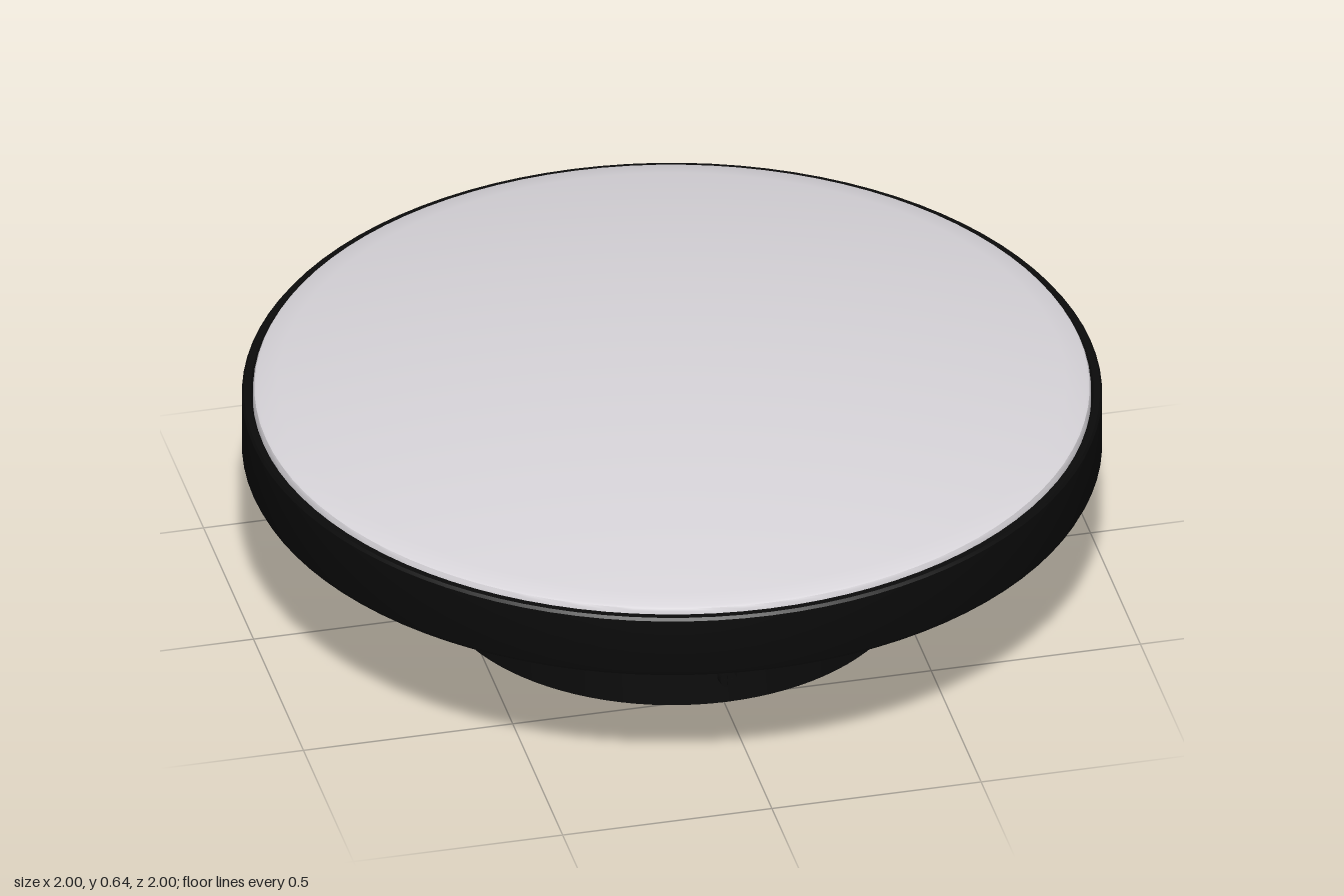
import * as THREE from 'three';
import { toCreasedNormals } from 'three/addons/utils/BufferGeometryUtils.js';

export function createModel() {
  const model = new THREE.Group();
  const black = new THREE.MeshStandardMaterial({ color: 0x0b0b0b });
  black.name = 'black metal';
  const opal = new THREE.MeshStandardMaterial({ color: 0xd8d5da });
  opal.name = 'opal diffuser';

  function add(name, geometry, material = black, parent = model) {
    const mesh = new THREE.Mesh(geometry, material);
    mesh.name = name;
    parent.add(mesh);
    return mesh;
  }
  // Profile of [radius, height] points, listed from the bottom up the outside
  function turned(points, segments = 96) {
    const profile = points.map(([r, y]) => new THREE.Vector2(r, y));
    return toCreasedNormals(new THREE.LatheGeometry(profile, segments), 0.5);
  }

  // Shallow drum holding the diffuser, with a narrow raised rim
  add('housing', turned([
    [0, 0.375], [0.985, 0.375], [0.995, 0.38], [1, 0.39],
    [1, 0.53], [0.995, 0.537], [0.98, 0.537], [0.976, 0.53], [0.976, 0.5], [0, 0.5],
  ]));

  // Gently domed diffuser: a spherical cap above a short straight edge
  const capRadius = 0.965, capBase = 0.55, rise = 0.087;
  const sphere = (capRadius ** 2 + rise ** 2) / (2 * rise);
  const dome = [[0.974, 0.51], [0.974, 0.541], [0.971, 0.547]];
  for (let i = 0; i <= 20; i++) {
    const r = capRadius * (1 - i / 20);
    dome.push([r, capBase + rise - sphere + Math.sqrt(sphere ** 2 - r ** 2)]);
  }
  add('diffuser', turned(dome), opal);

  // Stem between canopy and housing
  const stem = add('stem', new THREE.CylinderGeometry(0.068, 0.068, 0.18, 40));
  stem.position.y = 0.295;

  // Canopy: a slightly tapered cup, open below
  add('canopy', turned([
    [0, 0.1], [0.535, 0.1], [0.538, 0.02], [0.553, 0.02],
    [0.546, 0.21], [0.54, 0.217], [0, 0.217],
  ]));

  // Mounting plate inside the canopy
  add('mountingPlate', turned([
    [0, 0.005], [0.522, 0.005], [0.525, 0.008], [0.525, 0.11],
  ]));

  // Thin ribs and rings on the underside of the plate
  for (let i = 0; i < 3; i++) {
    const rib = add('plateRib', new THREE.BoxGeometry(1.03, 0.008, 0.01));
    rib.position.y = 0.004;
    rib.rotation.y = -Math.PI / 6 - i * Math.PI / 3;
  }
  for (const r of [0.03, 0.08, 0.18, 0.515]) {
    add('plateRing', turned([
      [r - 0.005, 0.008], [r - 0.005, 0], [r + 0.005, 0], [r + 0.005, 0.008],
    ], 64));
  }

  // Three knurled set screws around the canopy
  for (let i = 0; i < 3; i++) {
    const screw = new THREE.Group();
    screw.name = 'canopyScrew';
    const head = add('screwHead', new THREE.CylinderGeometry(0.02, 0.024, 0.025, 20), black, screw);
    head.rotation.x = Math.PI / 2;
    head.position.set(0, 0.09, 0.556);
    for (const turn of [0, Math.PI / 2]) {
      const bar = add('screwCross', new THREE.BoxGeometry(0.026, 0.006, 0.004), black, screw);
      bar.position.set(0, 0.09, 0.569);
      bar.rotation.z = turn;
    }
    screw.rotation.y = i * Math.PI * 2 / 3;
    model.add(screw);
  }

  // Four small screws under the housing
  for (let i = 0; i < 4; i++) {
    const a = i * Math.PI / 2;
    const screw = add('housingScrew', new THREE.CylinderGeometry(0.016, 0.011, 0.012, 20));
    screw.position.set(0.89 * Math.cos(a), 0.371, 0.89 * Math.sin(a));
  }

  return model;
}
